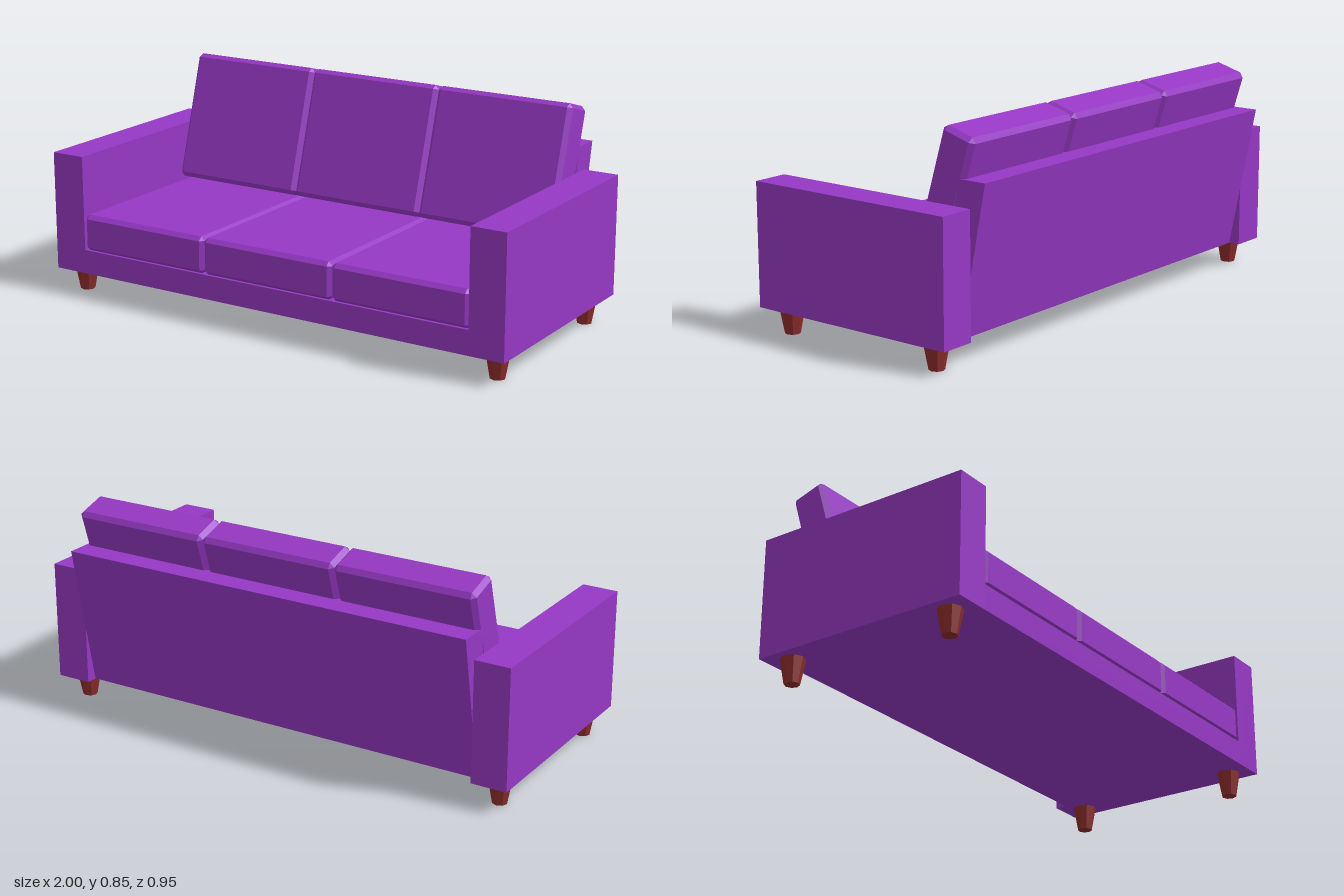
import * as THREE from 'three';
import { ConvexGeometry } from 'three/addons/geometries/ConvexGeometry.js';

// Box with flat chamfers on every edge and corner
function chamferBox(w, h, d, b) {
  const points = [];
  for (const x of [-1, 1]) for (const y of [-1, 1]) for (const z of [-1, 1]) {
    const [X, Y, Z] = [x * w / 2, y * h / 2, z * d / 2];
    points.push(
      new THREE.Vector3(X, Y - y * b, Z - z * b),
      new THREE.Vector3(X - x * b, Y, Z - z * b),
      new THREE.Vector3(X - x * b, Y - y * b, Z),
    );
  }
  return new ConvexGeometry(points);
}

export function createModel() {
  const model = new THREE.Group();
  model.name = 'sofa';

  const fabric = new THREE.MeshStandardMaterial({ color: 0x9638c4 });
  fabric.name = 'purple fabric';
  const wood = new THREE.MeshStandardMaterial({ color: 0x8f2d2d, flatShading: true });
  wood.name = 'red wood';

  function add(name, geometry, material, x, y, z) {
    const mesh = new THREE.Mesh(geometry, material);
    mesh.name = name;
    mesh.position.set(x, y, z);
    model.add(mesh);
    return mesh;
  }

  const bottom = 0.097, armTop = 0.57, front = 0.475, armBack = -0.41;
  const inner = 0.858; // half width between the arms

  // Base under the seat
  const baseBack = -0.355, baseTop = 0.193;
  add('base', new THREE.BoxGeometry(inner * 2, baseTop - bottom, front - baseBack), fabric,
    0, (baseTop + bottom) / 2, (front + baseBack) / 2);

  // Leaning back panel: side profile (z, y) extruded across the width
  const profile = new THREE.Shape([
    [-0.364, bottom], [-0.25, bottom], [-0.362, 0.668], [-0.476, 0.668],
  ].map(([z, y]) => new THREE.Vector2(-z, y)));
  const panel = new THREE.ExtrudeGeometry(profile, { depth: inner * 2, bevelEnabled: false });
  panel.translate(0, 0, -inner).rotateY(Math.PI / 2);
  add('backPanel', panel, fabric, 0, 0, 0);

  // Arms
  const arm = new THREE.BoxGeometry(1 - inner, armTop - bottom, front - armBack);
  for (const side of [-1, 1]) {
    add(side > 0 ? 'leftArm' : 'rightArm', arm, fabric,
      side * (1 + inner) / 2, (armTop + bottom) / 2, (front + armBack) / 2);
  }

  // Three seat cushions and three leaning back cushions
  const width = inner * 2 / 3;
  const seat = chamferBox(width, 0.147, 0.765, 0.016);
  const back = chamferBox(width, 0.514, 0.143, 0.017);
  for (const i of [-1, 0, 1]) {
    add('seatCushion', seat, fabric, i * width, 0.2635, front - 0.3825);
    add('backCushion', back, fabric, i * width, 0.584, -0.2825).rotation.x = -0.293;
  }

  // Tapered eight-sided legs
  const leg = new THREE.CylinderGeometry(0.047, 0.029, bottom, 8);
  for (const x of [-0.928, 0.928]) for (const z of [-0.314, 0.382]) {
    add(z > 0 ? 'frontLeg' : 'backLeg', leg, wood, x, bottom / 2, z);
  }

  return model;
}
